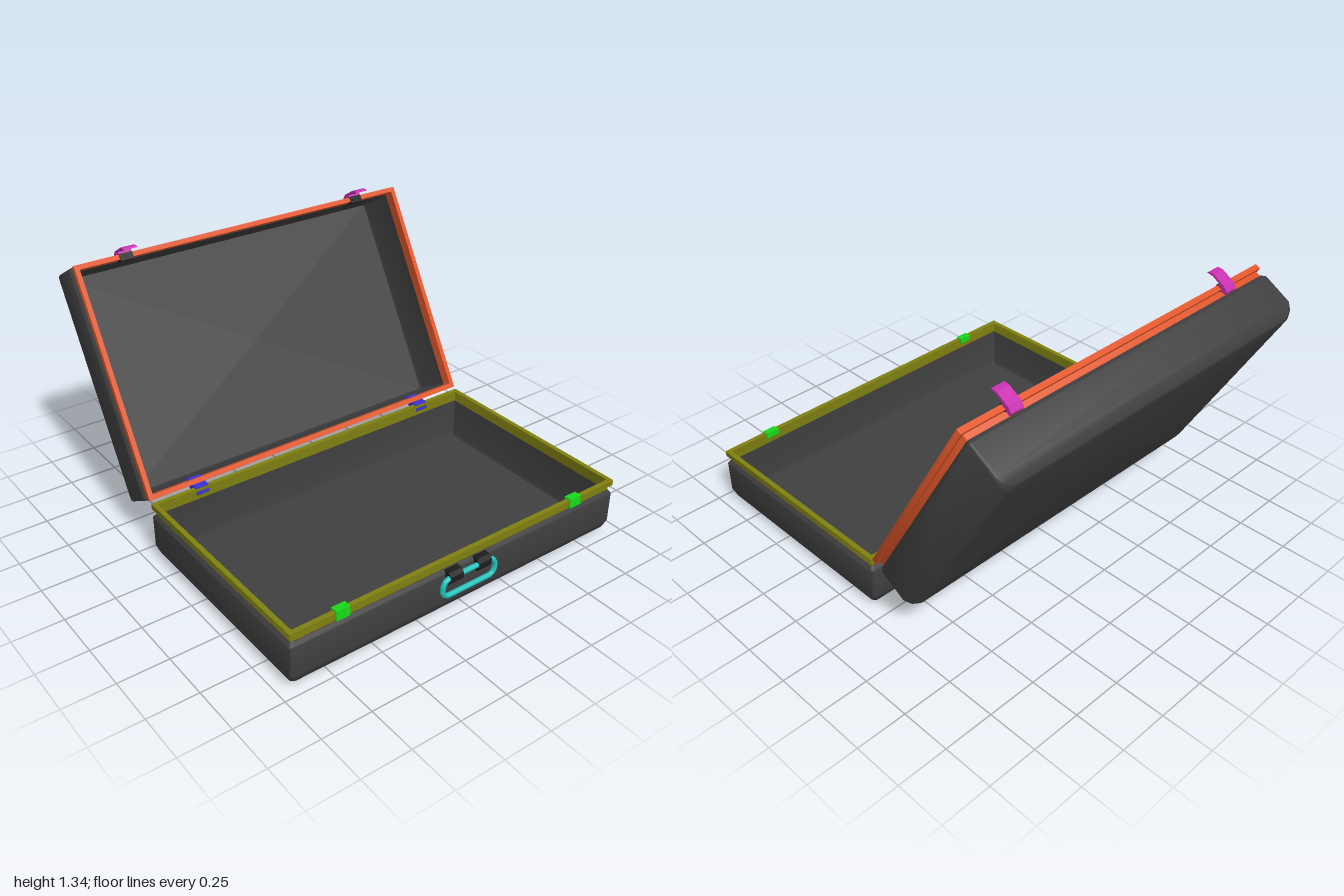
import * as THREE from 'three';
import { toCreasedNormals } from 'three/addons/utils/BufferGeometryUtils.js';

const WIDTH = 1.89, LENGTH = 1.145, HEIGHT = 0.295;

const material = (color) => new THREE.MeshStandardMaterial({ color, side: THREE.DoubleSide });
const shellMat = material(0x404040);
const blackMat = material(0x1c1c1c);
const baseRimMat = material(0x808012);
const lidRimMat = material(0xe0562a);
const hingeMat = material(0x3a30d0);
const latchMat = material(0xc82fb0);
const catchMat = material(0x18d818);
const handleMat = material(0x22c4bc);

function add(parent, name, geometry, mat) {
  const mesh = new THREE.Mesh(geometry, mat);
  mesh.name = name;
  parent.add(mesh);
  return mesh;
}

// Rounded rectangle in the xz plane, counterclockwise seen from above
function ring(inset, y, radius) {
  const pts = [], steps = 4;
  const hx = WIDTH / 2 - inset - radius, hz = LENGTH / 2 - inset - radius;
  const corners = [[1, -1], [-1, -1], [-1, 1], [1, 1]];
  corners.forEach(([sx, sz], k) => {
    for (let i = 0; i <= steps; i++) {
      const a = (k + i / steps) * Math.PI / 2;
      pts.push(sx * hx + Math.cos(a) * radius, y, sz * hz - Math.sin(a) * radius);
    }
  });
  return pts;
}

// Sweeps an [inset, height, corner radius] profile around the rectangle
function sweep(profile, capped) {
  const rings = profile.map((p) => ring(...p));
  const n = rings[0].length / 3, pos = rings.flat(), index = [];
  for (let j = 0; j < rings.length - 1; j++) {
    for (let i = 0; i < n; i++) {
      const a = j * n + i, b = j * n + (i + 1) % n;
      index.push(a, b, b + n, a, b + n, a + n);
    }
  }
  if (capped) {
    const c = pos.length / 3, last = (rings.length - 1) * n;
    pos.push(0, profile[0][1], 0, 0, profile[profile.length - 1][1], 0);
    for (let i = 0; i < n; i++) {
      const k = (i + 1) % n;
      index.push(c, k, i, c + 1, last + i, last + k);
    }
  }
  const geo = new THREE.BufferGeometry();
  geo.setAttribute('position', new THREE.Float32BufferAttribute(pos, 3));
  geo.setIndex(index);
  return toCreasedNormals(geo, 0.6);
}

// Outline given as [z, y] points, extruded along x and centred on x
function plate(points, width, x) {
  const shape = new THREE.Shape(points.map((p) => new THREE.Vector2(...p)));
  const geo = new THREE.ExtrudeGeometry(shape, { depth: width, bevelEnabled: false });
  return geo.rotateY(-Math.PI / 2).translate(x + width / 2, 0, 0);
}

// Open half of the case: thin tray with a stepped rim
function caseHalf(name, rimMat) {
  const half = new THREE.Group();
  half.name = name;
  add(half, name + 'Shell', sweep([
    [0.06, 0.004, 0.03], [0.035, 0.008, 0.03], [0.012, 0.03, 0.025], [0, 0.065, 0.015],
    [0, 0.222, 0.012], [0.012, 0.24, 0.012], [0.025, 0.24, 0.008],
    [0.025, 0.04, 0.008], [0.03, 0.022, 0.008],
  ], true), shellMat);
  add(half, name + 'Rim', sweep([
    [0.016, 0.235, 0.005], [0.016, 0.268, 0.005], [0, 0.268, 0.005], [0, HEIGHT, 0.005],
    [0.024, HEIGHT, 0.005], [0.024, 0.235, 0.005], [0.016, 0.235, 0.005],
  ], false), rimMat);
  return half;
}

export function createModel() {
  const model = new THREE.Group();
  model.name = 'openCase';

  // Lower half
  const base = caseHalf('base', baseRimMat);
  base.position.set(0, -0.004, 0.3875);
  model.add(base);

  // Lid, swung open by 120 degrees about its back edge
  const lid = new THREE.Group();
  lid.name = 'lid';
  lid.position.set(0, 0.3, -0.195);
  lid.rotation.x = -Math.PI * 2 / 3;
  const lidHalf = caseHalf('lid', lidRimMat);
  lidHalf.rotation.z = Math.PI;
  lidHalf.position.set(0, HEIGHT, LENGTH / 2);
  lid.add(lidHalf);
  model.add(lid);

  for (const side of [1, -1]) {
    const x = side * 0.68, label = side > 0 ? 'left' : 'right';
    // Hinge strap bridging the two rims
    add(model, label + 'Hinge', plate([
      [-0.158, 0.262], [-0.165, 0.25], [-0.2, 0.254], [-0.232, 0.272],
      [-0.262, 0.298], [-0.25, 0.308], [-0.215, 0.302], [-0.19, 0.298], [-0.165, 0.296],
    ], 0.07, x), hingeMat);
    // Catch on the front of the lower rim
    add(model, label + 'Catch', plate([
      [0.925, 0.298], [0.962, 0.298], [0.965, 0.25], [0.948, 0.25], [0.925, 0.27],
    ], 0.07, x), catchMat);
    // Latch tongue on the lid, with a small hook
    add(lid, label + 'Latch', plate([
      [1.138, 0.056], [1.155, 0.056], [1.168, 0.03], [1.17, -0.045], [1.16, -0.07],
      [1.15, -0.074], [1.153, -0.064], [1.16, -0.043], [1.158, 0.0], [1.14, 0.0],
    ], 0.07, x), latchMat);
    // Dark plate behind the latch
    add(lid, label + 'LatchPlate', plate([
      [1.112, -0.004], [1.147, -0.004], [1.147, 0.03], [1.112, 0.03],
    ], 0.07, x), blackMat);
    // Handle bracket
    add(model, label + 'HandleBracket', plate([
      [0.95, 0.235], [0.98, 0.232], [0.996, 0.215], [0.996, 0.185], [0.985, 0.172], [0.95, 0.172],
    ], 0.075, side * 0.083), blackMat);
  }

  // Carrying handle: closed loop with cut corners
  const loop = [
    [-0.12, 0.205], [0.12, 0.205], [0.142, 0.195], [0.154, 0.17], [0.154, 0.145], [0.145, 0.125],
    [0.125, 0.114], [-0.125, 0.114], [-0.145, 0.125], [-0.154, 0.145], [-0.154, 0.17], [-0.142, 0.195],
  ].map(([x, y]) => new THREE.Vector3(x, y, 0.983));
  const path = new THREE.CurvePath();
  loop.forEach((p, i) => path.add(new THREE.LineCurve3(p, loop[(i + 1) % loop.length])));
  add(model, 'handle', new THREE.TubeGeometry(path, 96, 0.013, 8, true), handleMat);

  return model;
}
